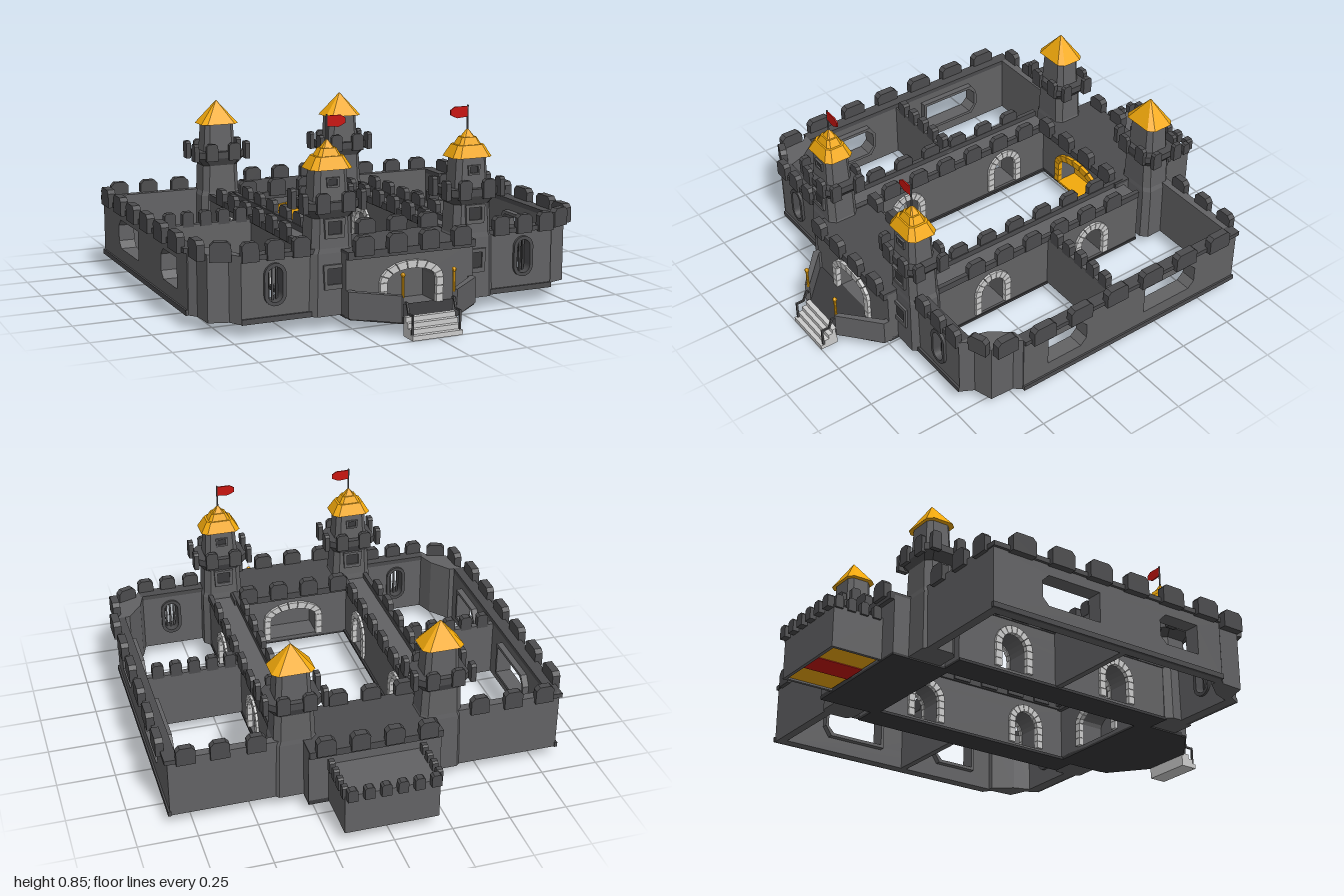
import * as THREE from 'three';

const mat = (color) => new THREE.MeshStandardMaterial({ color, flatShading: true });
const M = {
  wall: mat(0x626264), trim: mat(0x4c4c4e), floor: mat(0x3a3a3c), stone: mat(0xcccccc),
  gold: mat(0xf2a90c), red: mat(0xc8140f),
};
const BASE = 0.056, TOP = 0.31;

function add(parent, name, geo, material, x = 0, y = 0, z = 0, ry = 0) {
  const m = new THREE.Mesh(geo, material);
  m.name = name;
  m.position.set(x, y, z);
  m.rotation.y = ry;
  parent.add(m);
  return m;
}
// Box given by its min and max corners
function box(parent, name, material, x0, x1, y0, y1, z0, z1) {
  return add(parent, name, new THREE.BoxGeometry(x1 - x0, y1 - y0, z1 - z0), material,
    (x0 + x1) / 2, (y0 + y1) / 2, (z0 + z1) / 2);
}
const polygon = (pts) => new THREE.Shape(pts.map(([x, y]) => new THREE.Vector2(x, y)));
const rect = (x0, x1, y0, y1) => polygon([[x0, y0], [x1, y0], [x1, y1], [x0, y1]]);
const extrude = (shape, depth) =>
  new THREE.ExtrudeGeometry(shape, { depth, bevelEnabled: false, curveSegments: 8 });
// Plan outline of [x, z] points raised from y0 to y1
const plan = (pts, y0, y1) =>
  extrude(polygon(pts.map(([x, z]) => [x, -z])), y1 - y0).rotateX(-Math.PI / 2).translate(0, y0, 0);
// Wall drawn in (z, y) with thickness from x0 to x1
const sideWall = (shape, x0, x1) => extrude(shape, x1 - x0).rotateY(-Math.PI / 2).translate(x1, 0, 0);

// Arch opening: straight jambs below an elliptical head
function archShape(cx, rx, y0, spring, ry) {
  const pts = [[cx - rx, y0], [cx + rx, y0]];
  for (let i = 0; i <= 10; i++) {
    const t = i / 10 * Math.PI;
    pts.push([cx + rx * Math.cos(t), spring + ry * Math.sin(t)]);
  }
  return polygon(pts);
}
// Ring of wedge stones round an arch, facing +z
function archStones(parent, name, material, rx, y0, spring, ry, x, z, rotY = 0) {
  const g = new THREE.Group(), n = 9;
  g.name = name;
  for (let i = 0; i < n; i++) {
    const t0 = (i + 0.04) / n * Math.PI, t1 = (i + 0.96) / n * Math.PI;
    const at = (t, o) => [(rx + o) * Math.cos(t), spring + (ry + o) * Math.sin(t)];
    add(g, 'archStone', extrude(polygon([at(t0, -0.005), at(t0, 0.027), at(t1, 0.027), at(t1, -0.005)]), 0.02), material, 0, 0, -0.01);
  }
  for (const s of [-1, 1]) for (let i = 0; i < 3; i++) {
    const h = (spring - y0) / 3;
    add(g, 'jambStone', new THREE.BoxGeometry(0.03, h * 0.94, 0.02), material, s * (rx + 0.011), y0 + h * (i + 0.5), 0);
  }
  g.position.set(x, 0, z);
  g.rotation.y = rotY;
  parent.add(g);
}
// Chamfered-rectangle rings [y, halfX, halfZ] joined into a closed solid
function loft(rings, cut = 0.35) {
  const pos = [], idx = [], n = 8;
  for (const [y, a, b] of rings) {
    const c = Math.min(a, b) * cut;
    for (const [x, z] of [[a, b - c], [a - c, b], [c - a, b], [-a, b - c], [-a, c - b], [c - a, -b], [a - c, -b], [a, c - b]]) pos.push(x, y, z);
  }
  for (let r = 0; r < rings.length - 1; r++) for (let i = 0; i < n; i++) {
    const a = r * n + i, b = r * n + (i + 1) % n;
    idx.push(a, a + n, b, b, a + n, b + n);
  }
  const t = (rings.length - 1) * n;
  for (let i = 1; i < n - 1; i++) idx.push(0, i, i + 1, t, t + i + 1, t + i);
  const g = new THREE.BufferGeometry();
  g.setAttribute('position', new THREE.Float32BufferAttribute(pos, 3));
  g.setIndex(idx);
  const flat = g.toNonIndexed();
  flat.computeVertexNormals();
  return flat;
}
// Battlement tooth with clipped upper corners, wide along x before turning
function merlon(parent, x, y, z, w, h, t, ry = 0) {
  const c = Math.min(w, h) * 0.2, a = w / 2;
  const s = polygon([[-a, 0], [a, 0], [a, h - c], [a - c, h], [c - a, h], [-a, h - c]]);
  add(parent, 'merlon', extrude(s, t).translate(0, 0, -t / 2), M.trim, x, y, z, ry);
}
// Mirrored copy across x = 0, with corner order kept outward
function mirrored(group) {
  const out = new THREE.Group();
  out.name = group.name.replace('left', 'right');
  group.updateMatrixWorld(true);
  group.traverse((m) => {
    if (!m.isMesh) return;
    const src = m.geometry.index ? m.geometry.toNonIndexed() : m.geometry.clone();
    const g = src.applyMatrix4(m.matrixWorld), p = g.attributes.position;
    const q = [];
    for (let i = 0; i < p.count; i += 3) for (const k of [0, 2, 1]) q.push(-p.getX(i + k), p.getY(i + k), p.getZ(i + k));
    const r = new THREE.BufferGeometry();
    r.setAttribute('position', new THREE.Float32BufferAttribute(q, 3));
    r.computeVertexNormals();
    add(out, m.name, r, m.material);
  });
  return out;
}

function tower(parent, z, isFront) {
  const g = new THREE.Group();
  g.name = isFront ? 'frontTower' : 'backTower';
  g.position.set(0.315, 0, z);
  add(g, 'towerBase', loft([[BASE, 0.1, 0.075], [TOP, 0.095, 0.072], [TOP + 0.02, 0.088, 0.07], [0.47, 0.082, 0.068]]), M.wall);
  add(g, 'collar', loft([[0.45, 0.083, 0.068], [0.485, 0.112, 0.085], [0.515, 0.112, 0.085]]), M.trim);
  for (const s of [-1, 1]) for (const k of [-1, 1]) {
    merlon(g, k * 0.055, 0.475, s * 0.087, 0.055, 0.08, 0.02);
    merlon(g, s * 0.125, 0.475, k * 0.058, 0.045, 0.08, 0.022, Math.PI / 2);
  }
  add(g, 'turret', loft([[0.5, 0.077, 0.06], [0.645, 0.068, 0.054]]), M.wall);
  add(g, 'roof', loft(isFront
    ? [[0.64, 0.09, 0.068], [0.69, 0.06, 0.045], [0.69, 0.05, 0.038], [0.72, 0.033, 0.026], [0.72, 0.026, 0.02], [0.752, 0.003, 0.003]]
    : [[0.64, 0.09, 0.068], [0.745, 0.002, 0.002]]), M.gold);
  if (isFront) {
    // Framed windows, flagpole and flag
    for (const [y, w, h, d] of [[0.165, 0.05, 0.1, 0.074], [0.37, 0.045, 0.08, 0.07], [0.57, 0.028, 0.04, 0.054]]) {
      for (const s of y < 0.3 ? [1] : [1, -1]) {
        const frame = polygon([[-w * 0.9, 0], [w * 0.9, 0], [w, h], [-w, h]]);
        frame.holes.push(rect(-w * 0.65, w * 0.65, h * 0.2, h * 0.85));
        add(g, 'windowFrame', extrude(frame, 0.014).translate(0, 0, -0.004), M.wall, 0, y, s * d, s < 0 ? Math.PI : 0);
        box(g, 'windowPane', M.floor, -w * 0.7, w * 0.7, y + h * 0.15, y + h * 0.9, s * d - 0.003, s * d + 0.003);
      }
    }
    add(g, 'flagpole', new THREE.CylinderGeometry(0.004, 0.004, 0.11, 8), M.wall, 0, 0.795, 0);
    add(g, 'flag', extrude(polygon([[0, 0.802], [-0.05, 0.798], [-0.08, 0.812], [-0.08, 0.832], [-0.06, 0.845], [0, 0.845]]), 0.006), M.red, 0, 0, -0.003);
  }
  parent.add(g);
}

function leftHalf() {
  const g = new THREE.Group();
  g.name = 'leftWing';
  // Outer side wall with two wide openings and their inner frames
  const side = rect(-0.66, 0.485, BASE, TOP);
  for (const [a, b] of [[-0.43, -0.15], [0.16, 0.36]]) {
    const opening = (e) => polygon([[a - e + 0.03, 0.135 - e], [b + e, 0.135 - e], [b + e, 0.265 + e], [a - e + 0.03, 0.265 + e], [a - e, 0.235], [a - e, 0.165]]);
    side.holes.push(opening(0));
    const frame = opening(0.014);
    frame.holes.push(opening(0));
    add(g, 'openingFrame', sideWall(frame, 0.775, 0.805), M.wall);
  }
  add(g, 'outerWall', sideWall(side, 0.802, 0.845), M.wall);
  box(g, 'wallFoot', M.trim, 0.84, 0.853, BASE, 0.078, -0.665, 0.485);
  box(g, 'wallCap', M.trim, 0.802, 0.857, TOP, 0.33, -0.665, 0.485);
  for (let i = 0; i < 6; i++) merlon(g, 0.859, 0.305, -0.535 + i * 0.187, 0.11, 0.08, 0.034, Math.PI / 2);
  // Stepped front corner
  const corner = [[0.845, 0.48], [0.815, 0.515], [0.81, 0.62], [0.73, 0.645], [0.70, 0.70], [0.69, 0.645], [0.715, 0.57], [0.78, 0.485]];
  add(g, 'cornerWall', plan(corner, BASE, 0.33), M.wall);
  merlon(g, 0.833, 0.305, 0.565, 0.1, 0.08, 0.034, Math.PI / 2);
  merlon(g, 0.765, 0.305, 0.648, 0.085, 0.08, 0.03, 0.35);
  // Front wall with a barred, round-ended window
  const pill = (r, e) => {
    const s = new THREE.Shape();
    s.absarc(0.56, 0.245, r, 0, Math.PI);
    s.absarc(0.56, 0.165, r, Math.PI, Math.PI * 2);
    return s;
  };
  const front = rect(0.38, 0.70, BASE, TOP);
  front.holes.push(pill(0.032));
  add(g, 'frontWall', extrude(front, 0.052), M.wall, 0, 0, 0.645);
  const ring = pill(0.046);
  ring.holes.push(pill(0.031));
  add(g, 'windowRing', extrude(ring, 0.075), M.trim, 0, 0, 0.634);
  for (let i = -1; i <= 1; i++) box(g, 'windowBar', M.trim, 0.556 + i * 0.018, 0.564 + i * 0.018, 0.135, 0.275, 0.668, 0.676);
  box(g, 'frontCap', M.trim, 0.39, 0.70, TOP, 0.33, 0.645, 0.705);
  box(g, 'frontFoot', M.trim, 0.39, 0.70, BASE, 0.078, 0.69, 0.706);
  for (const x of [0.45, 0.56, 0.665]) merlon(g, x, 0.305, 0.70, 0.07, 0.08, 0.03);
  // Back and cross walls
  box(g, 'backWall', M.wall, 0.38, 0.845, BASE, 0.33, -0.66, -0.622);
  for (const x of [0.48, 0.63, 0.77]) merlon(g, x, 0.305, -0.662, 0.08, 0.08, 0.03);
  box(g, 'crossWall', M.wall, 0.37, 0.81, BASE, TOP, -0.02, 0.008);
  for (let i = 0; i < 5; i++) merlon(g, 0.43 + i * 0.08, 0.3, -0.006, 0.05, 0.065, 0.032);
  // Inner walkway pierced by two arches
  const inner = rect(-0.5, 0.58, BASE + 0.004, 0.30);
  for (const z of [0.305, -0.235]) {
    inner.holes.push(archShape(z, 0.066, 0.075, 0.175, 0.068));
    archStones(g, 'wallArch', M.stone, 0.066, 0.075, 0.175, 0.068, 0.386, z, Math.PI / 2);
    archStones(g, 'wallArch', M.stone, 0.066, 0.075, 0.175, 0.068, 0.264, z, -Math.PI / 2);
  }
  add(g, 'walkway', sideWall(inner, 0.265, 0.385), M.wall);
  box(g, 'walkwayFloor', M.floor, 0.255, 0.39, 0.05, 0.062, -0.5, 0.58);
  for (const x of [0.265, 0.38]) {
    box(g, 'parapet', M.trim, x - 0.01, x + 0.01, 0.295, 0.325, -0.5, 0.58);
    for (let i = 0; i < 6; i++) merlon(g, x + (x > 0.3 ? 0.004 : -0.006), 0.3, -0.35 + i * 0.148, 0.085, 0.075, 0.024, Math.PI / 2);
  }
  tower(g, 0.648, true);
  tower(g, -0.598, false);
  // Porch parapet, lamp post and stair rail
  add(g, 'porchWall', plan([[0.285, 0.755], [0.285, 0.79], [0.122, 0.93], [0.108, 0.915], [0.262, 0.775], [0.262, 0.755]], BASE, 0.165), M.wall);
  add(g, 'goldPost', new THREE.CylinderGeometry(0.006, 0.006, 0.09, 8), M.gold, 0.113, 0.2, 0.918);
  add(g, 'goldKnob', new THREE.SphereGeometry(0.01, 8, 6), M.gold, 0.113, 0.245, 0.918);
  add(g, 'stairRail', sideWall(polygon([[0.925, 0.14], [0.94, 0.14], [0.955, 0.10], [0.99, 0.10], [0.99, 0], [0.982, 0], [0.982, 0.092], [0.95, 0.092], [0.933, 0.13], [0.925, 0.13]]), 0.1, 0.108), M.trim);
  return g;
}

// Crenellated block spanning the court, with an arched passage along z
function gatehouse(parent, name, z0, z1, rx) {
  const g = new THREE.Group();
  g.name = name;
  const face = rect(-0.285, 0.285, BASE + 0.004, TOP);
  face.holes.push(archShape(0, rx, 0.075, 0.18, 0.055));
  add(g, 'block', extrude(face, z1 - z0), M.wall, 0, 0, z0);
  box(g, 'floorSlab', M.floor, -0.285, 0.285, 0.05, 0.07, z0, z1);
  box(g, 'roofSlab', M.trim, -0.285, 0.285, 0.29, 0.322, z0 - 0.02, z1 + 0.02);
  for (let i = 0; i < 4; i++) for (const z of [z0 - 0.018, z1 + 0.018]) merlon(g, -0.218 + i * 0.1453, 0.305, z, 0.08, 0.078, 0.034);
  parent.add(g);
  return g;
}

export function createModel() {
  const root = new THREE.Group();
  root.name = 'castle';
  const left = leftHalf();
  root.add(left, mirrored(left));

  // Front gatehouse with its closed gate
  const front = gatehouse(root, 'frontGatehouse', 0.515, 0.765, 0.115);
  archStones(front, 'gateArch', M.stone, 0.115, 0.075, 0.18, 0.055, 0, 0.77);
  archStones(front, 'courtArch', M.stone, 0.115, 0.075, 0.18, 0.055, 0, 0.51);
  box(front, 'gate', M.wall, -0.12, 0.12, 0.07, 0.24, 0.63, 0.65);

  // Back keep with a golden recess
  const back = gatehouse(root, 'backKeep', -0.745, -0.47, 0.13);
  archStones(back, 'goldArch', M.gold, 0.13, 0.075, 0.18, 0.055, 0, -0.464);
  box(back, 'goldPanel', M.gold, -0.135, 0.135, 0.07, 0.24, -0.57, -0.555);
  box(back, 'goldFloor', M.gold, -0.128, 0.128, 0.07, 0.08, -0.56, -0.455);

  // Rear annex, striped underneath
  const annex = new THREE.Group();
  annex.name = 'rearAnnex';
  box(annex, 'annexBody', M.wall, -0.2, 0.2, 0.07, 0.238, -0.97, -0.74);
  for (const s of [-1, 1]) box(annex, 'annexSide', M.wall, s * 0.193 - 0.007, s * 0.193 + 0.007, BASE, 0.08, -0.97, -0.74);
  box(annex, 'annexBack', M.wall, -0.2, 0.2, BASE, 0.08, -0.97, -0.956);
  box(annex, 'goldCarpet', M.gold, -0.186, 0.186, 0.064, 0.072, -0.956, -0.75);
  box(annex, 'redCarpet', M.red, -0.06, 0.06, 0.061, 0.07, -0.956, -0.75);
  for (let i = 0; i < 6; i++) merlon(annex, -0.175 + i * 0.07, 0.225, -0.982, 0.042, 0.055, 0.03);
  for (const s of [-1, 1]) for (let i = 0; i < 4; i++) merlon(annex, s * 0.198, 0.225, -0.95 + i * 0.058, 0.035, 0.055, 0.024, Math.PI / 2);
  root.add(annex);

  // Porch floor and entrance steps
  add(root, 'porchFloor', plan([[-0.28, 0.755], [-0.28, 0.79], [-0.115, 0.925], [0.115, 0.925], [0.28, 0.79], [0.28, 0.755]], 0.05, 0.078), M.floor);
  for (let i = 0; i < 4; i++) box(root, 'step', M.stone, -0.11, 0.11, i * 0.02, (i + 1) * 0.02, 0.92, 1 - i * 0.02);
  return root;
}
